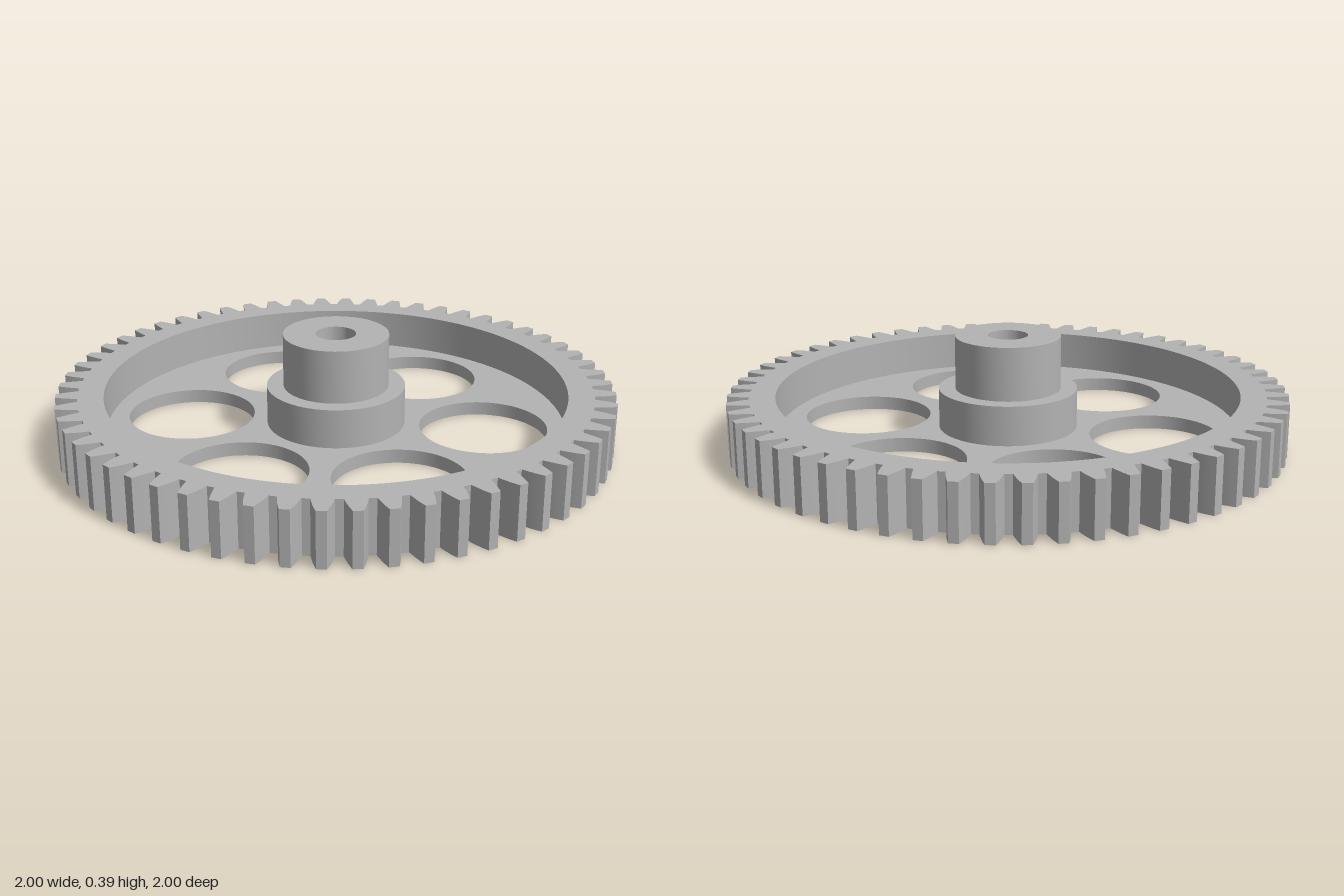
import * as THREE from 'three';
import { toCreasedNormals } from 'three/addons/utils/BufferGeometryUtils.js';

const TEETH = 58;
const HEIGHT = 0.193;       // rim and hub collar
const WEB = 0.05;           // thickness of the pierced disc
const RIM_INNER = 0.83, COLLAR = 0.25, HUB = 0.19, BORE = 0.072;

// Half of one tooth from root to tip: [radius, half width]
const FLANK = [[0.922, 0.037], [0.944, 0.0325], [0.967, 0.027], [0.985, 0.0215], [1.0, 0.0165]];

function circle(x, y, r) {
  return new THREE.Path().absarc(x, y, r, 0, Math.PI * 2, true);
}

// Extrude a plan shape upwards from y = 0
function slab(shape, height) {
  const geo = new THREE.ExtrudeGeometry(shape, { depth: height, bevelEnabled: false, curveSegments: 72 });
  geo.rotateX(-Math.PI / 2);
  return toCreasedNormals(geo, 0.4);
}

function gearOutline() {
  const points = [];
  for (let i = 0; i < TEETH; i++) {
    const mid = (i / TEETH) * Math.PI * 2;
    const add = (r, w) => {
      const a = mid + Math.asin(w / r);
      points.push(new THREE.Vector2(r * Math.cos(a), r * Math.sin(a)));
    };
    FLANK.forEach(([r, w]) => add(r, -w));
    [...FLANK].reverse().forEach(([r, w]) => add(r, w));
  }
  return new THREE.Shape(points);
}

export function createModel() {
  const group = new THREE.Group();
  const steel = new THREE.MeshStandardMaterial({ color: 0xb3b3b3 });
  steel.name = 'grey metal';
  const add = (name, geometry) => {
    const mesh = new THREE.Mesh(geometry, steel);
    mesh.name = name;
    group.add(mesh);
  };

  // Toothed rim
  const rim = gearOutline();
  rim.holes.push(circle(0, 0, RIM_INNER));
  add('toothedRim', slab(rim, HEIGHT));

  // Thin web with six round lightening holes
  const web = new THREE.Shape().absarc(0, 0, RIM_INNER, 0, Math.PI * 2, false);
  web.holes.push(circle(0, 0, COLLAR));
  for (let i = 0; i < 6; i++) {
    const a = Math.PI / 6 + (i * Math.PI) / 3;
    web.holes.push(circle(0.535 * Math.cos(a), 0.535 * Math.sin(a), 0.23));
  }
  add('web', slab(web, WEB));

  // Stepped hub with a through bore
  const profile = [
    [BORE, 0], [COLLAR, 0], [COLLAR, HEIGHT], [HUB, HEIGHT],
    [HUB, 0.386], [BORE, 0.386], [BORE, 0],
  ].map(([r, y]) => new THREE.Vector2(r, y));
  add('hub', toCreasedNormals(new THREE.LatheGeometry(profile, 72), 0.5));

  return group;
}
